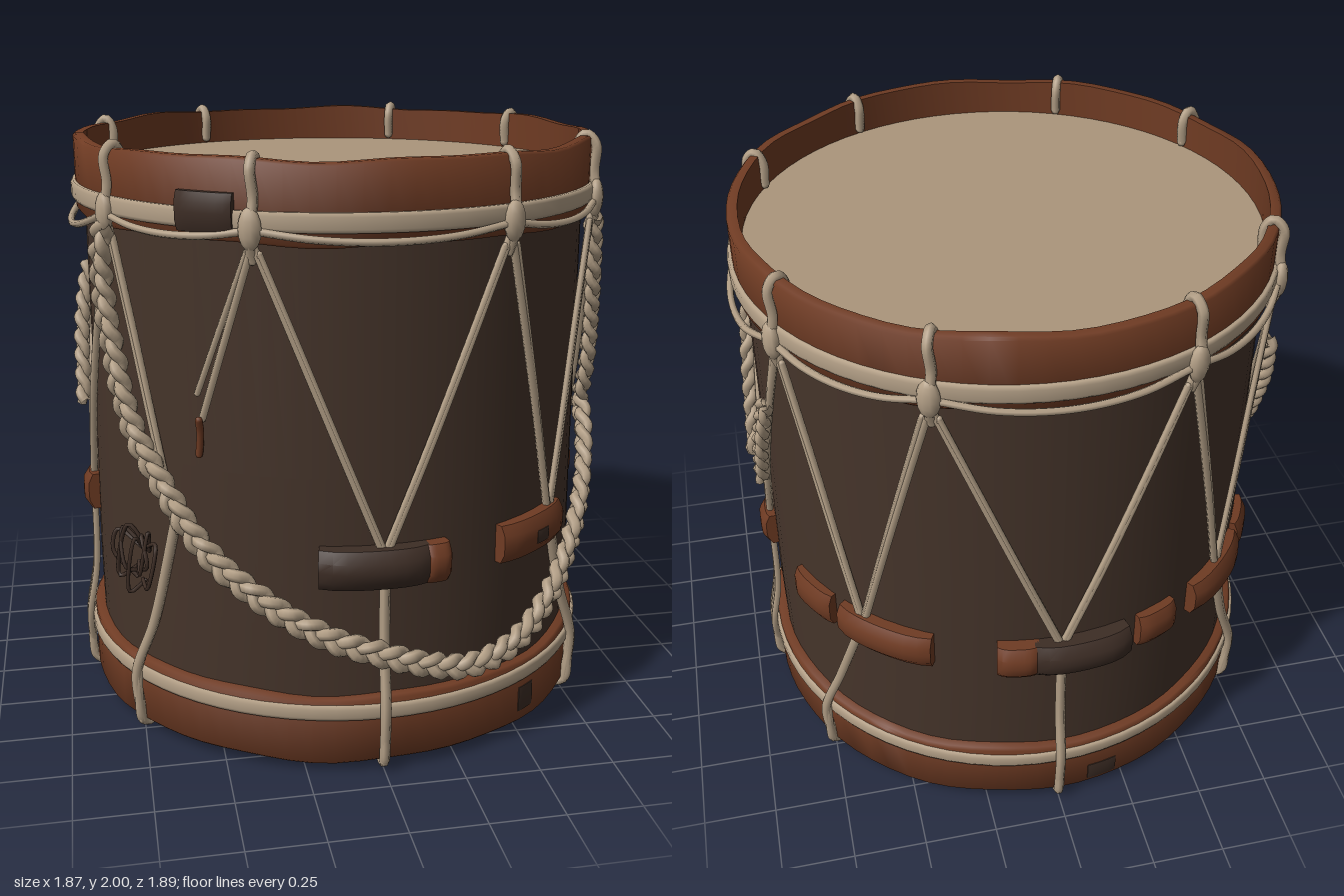
import * as THREE from 'three';
import { toCreasedNormals } from 'three/addons/utils/BufferGeometryUtils.js';

const mat = (name, color, side = THREE.FrontSide) => {
  const m = new THREE.MeshStandardMaterial({ color, side });
  m.name = name;
  return m;
};

// Point on the drum: angle in degrees from the front towards +x, height, radius
const at = (deg, y, r) => {
  const a = THREE.MathUtils.degToRad(deg);
  return new THREE.Vector3(r * Math.sin(a), y, r * Math.cos(a));
};

export function createModel() {
  const shellMat = mat('dark shell wood', 0x45342a);
  const hoopMat = mat('red brown wood', 0x6f3b23);
  const skinMat = mat('drum skin', 0xab967c);
  const ropeMat = mat('pale rope', 0xb5a188);
  const darkMat = mat('dark leather', 0x3d2d25);

  const drum = new THREE.Group();
  drum.name = 'drum';
  const add = (name, geometry, material, parent = drum) => {
    const mesh = new THREE.Mesh(geometry, material);
    mesh.name = name;
    parent.add(mesh);
    return mesh;
  };
  const group = (name) => {
    const g = new THREE.Group();
    g.name = name;
    drum.add(g);
    return g;
  };
  const lathe = (pts) => new THREE.LatheGeometry(pts.map((p) => new THREE.Vector2(...p)), 72);

  // Cord through [deg, y, r] points, straight or curved along the drum
  const path = (pts) => new THREE.CatmullRomCurve3(pts.map((p) => at(...p)), false, 'centripetal');
  const cord = (name, pts, radius, parent, material = ropeMat) => {
    const curve = path(pts);
    const g = new THREE.TubeGeometry(curve, 6 * pts.length, radius, 6);
    add(name, g, material, parent);
    for (const t of [0, 1]) {
      const cap = add(name + 'End', new THREE.SphereGeometry(radius, 6, 4), material, parent);
      cap.position.copy(curve.getPoint(t));
    }
  };
  const leg = (a0, y0, a1, y1, r = 0.878) =>
    [0, 0.33, 0.67, 1].map((t) => [a0 + (a1 - a0) * t, y0 + (y1 - y0) * t, r + 0.02 * (1 - t) ** 3]);

  // Box bent round the drum, with softly pinched ends
  const bent = (name, a0, a1, y0, y1, r0, r1, material, parent) => {
    const g = new THREE.BoxGeometry(1, 1, 1, 8, 4, 1);
    const p = g.attributes.position;
    for (let i = 0; i < p.count; i++) {
      const u = p.getX(i), v = p.getY(i), w = p.getZ(i);
      const pinch = (1 - 0.25 * Math.abs(2 * u) ** 4) * (1 - 0.35 * Math.abs(2 * v) ** 4);
      const r = w > 0 ? r0 + (r1 - r0) * pinch : r0;
      const q = at(a0 + (a1 - a0) * (u + 0.5), y0 + (y1 - y0) * (v + 0.5), r);
      p.setXYZ(i, q.x, q.y, q.z);
    }
    add(name, toCreasedNormals(g, 0.7), material, parent);
  };

  // Shell and the two recessed skins
  add('shell', lathe([[0.862, 0.14], [0.866, 0.5], [0.862, 1], [0.858, 1.86]]), shellMat);
  for (const [name, y, turn] of [['topSkin', 1.85, -1], ['bottomSkin', 0.16, 1]]) {
    const skin = add(name, new THREE.CircleGeometry(0.87, 64), skinMat);
    skin.rotation.x = turn * Math.PI / 2;
    skin.position.y = y;
  }

  // Slightly uneven wooden hoops with a pale band
  const hoop = (name, y0, y1, rOut) => {
    const rIn = 0.852, b = 0.008;
    const g = lathe([[rIn, y0], [rOut - b, y0], [rOut, y0 + b], [rOut, y1 - b],
      [rOut - b, y1], [rIn, y1], [rIn, y0]]);
    const p = g.attributes.position;
    for (let i = 0; i < p.count; i++) {
      const a = Math.atan2(p.getX(i), p.getZ(i));
      p.setY(i, p.getY(i) + 0.005 * Math.sin(7 * a) + 0.003 * Math.cos(13 * a));
    }
    add(name, toCreasedNormals(g, 0.9), hoopMat);
  };
  const band = (name, y0, y1, r) =>
    add(name, lathe([[0.87, y0], [r - 0.006, y0], [r, y0 + 0.012], [r, y1 - 0.012], [r - 0.006, y1], [0.87, y1]]), ropeMat);
  hoop('topHoop', 1.725, 1.972, 0.888);
  hoop('bottomHoop', 0.033, 0.262, 0.898);
  band('topBand', 1.765, 1.825, 0.903);
  band('bottomBand', 0.19, 0.242, 0.91);

  // Rope loops and knots over the top hoop
  const topAngles = [26, 62, 118, 154, 206, 242, 298, 334];
  const loops = group('topLoops');
  topAngles.forEach((a, i) => {
    cord('topLoop', [[a, 1.87, 0.845], [a, 1.95, 0.843], [a, 1.982, 0.868], [a, 1.95, 0.902],
      [a + 0.5, 1.86, 0.9], [a, 1.76, 0.915], [a, 1.68, 0.89]], 0.017, loops);
    const knot = add('knot', new THREE.SphereGeometry(1, 10, 8), ropeMat, loops);
    knot.scale.set(0.037, 0.065, 0.026);
    knot.position.copy(at(a, 1.775, 0.91));
    knot.rotation.y = THREE.MathUtils.degToRad(a);
    // Slack cord sagging to the next knot
    const b = i < 7 ? topAngles[i + 1] : 386;
    const sag = i === 1 || i === 5 ? 0.085 : 0.03;
    cord('slackCord', [0, 0.25, 0.5, 0.75, 1].map((t) =>
      [a + (b - a) * t, 1.77 - sag * 4 * t * (1 - t), 0.908]), 0.012, loops);
  });

  // Tension cords: pairs meet at each V point, then run to the bottom hoop
  const cords = group('tensionCords');
  const vees = [[0, -26, 26, 0], [45, 26, 62, 57], [90, 62, 118, 90], [135, 118, 154, 123],
    [180, 154, 206, 180], [225, 206, 242, 237], [270, 242, 298, 270], [315, 334, 298, 303]];
  for (const [v, a, b, foot] of vees) {
    for (const top of [a, b]) {
      const s = Math.sign(v - top);
      if (v === 315 && top === 334) {
        // Snapped cord with a worn end
        cord('snappedCord', leg(-26, 1.72, -38, 1.17), 0.013, cords);
        cord('snappedCord', leg(-26.6, 1.72, -39, 1.25), 0.011, cords);
        cord('wornEnd', leg(-38, 1.17, -39, 1.05), 0.012, cords, hoopMat);
        continue;
      }
      cord('cord', leg(top, 1.74, v - s * 0.8, 0.77), 0.013, cords);
      cord('cord', leg(top + s * 1.6, 1.7, v - s * 0.3, 0.77), 0.011, cords);
    }
    const y0 = v === 315 ? 0.78 : 0.68;
    const spread = v === 90 || v === 270 ? [-2.2, 0, 2.2] : [0];
    for (const o of spread) {
      const mid = v + (foot - v) * 0.65 + o;
      cord('lowerCord', [[v + o, y0 + 0.06, 0.88], [mid, 0.42, 0.888], [foot + o * 0.8, 0.22, 0.92],
        [foot, 0.09, 0.912], [foot, 0.035, 0.905]], spread.length > 1 ? 0.013 : 0.018, cords);
    }
    cord('bottomLoop', [[foot, 0.25, 0.914], [foot, 0.12, 0.916], [foot, 0.04, 0.908],
      [foot, 0.018, 0.875], [foot, 0.05, 0.845], [foot, 0.14, 0.845]], 0.017, cords);
  }

  // Leather sliders round the cords
  const tabs = group('sliders');
  const tab = (a0, a1, m, r = 0.925, y0 = 0.65, y1 = 0.78) => bent('slider', a0, a1, y0, y1, 0.855, r, m, tabs);
  tab(-13.5, 9, darkMat, 0.945);
  tab(8, 13.5, hoopMat, 0.935);
  tab(27, 49, hoopMat);
  tab(86, 94, hoopMat, 0.918);
  tab(113, 126, hoopMat, 0.91);
  tab(129, 152, hoopMat);
  tab(166, 175, hoopMat, 0.935);
  tab(174, 195, darkMat, 0.945);
  tab(198, 208, hoopMat, 0.915);
  tab(214, 236, hoopMat);
  tab(238, 249, hoopMat, 0.91);
  tab(266, 274, hoopMat, 0.918);
  bent('sliderMark', 36, 40, 0.69, 0.735, 0.921, 0.929, darkMat, tabs);

  // Dark patches on the hoops
  bent('hoopPatch', -41.5, -29.5, 1.755, 1.875, 0.885, 0.922, darkMat, drum);
  bent('hoopStain', 34, 39, 0.07, 0.16, 0.895, 0.903, darkMat, drum);
  bent('hoopStain', 187, 194, 0.05, 0.12, 0.895, 0.903, darkMat, drum);

  // Three-strand braid following a path
  const braid = (name, pts, size) => {
    const g = group(name);
    const curve = path(pts);
    const length = curve.getLength();
    const steps = Math.ceil(length / 0.016);
    for (let k = 0; k < 3; k++) {
      const line = [];
      for (let i = 0; i <= steps; i++) {
        const p = curve.getPointAt(i / steps);
        const tangent = curve.getTangentAt(i / steps);
        const out = new THREE.Vector3(p.x, 0, p.z).normalize();
        const across = new THREE.Vector3().crossVectors(tangent, out).normalize();
        const w = (i / steps) * length * 30 + k * 2 * Math.PI / 3;
        line.push(p.addScaledVector(across, size * Math.sin(w)).addScaledVector(out, size * 0.5 * Math.sin(2 * w)));
      }
      add('strand', new THREE.TubeGeometry(new THREE.CatmullRomCurve3(line), steps * 2, size * 0.78, 6), ropeMat, g);
    }
  };
  const drape = [[-62, 1.74], [-64, 1.6], [-60, 1.3], [-55, 1.1], [-45, 0.9], [-37, 0.75], [-26, 0.62],
    [-13, 0.5], [0, 0.42], [11, 0.36], [19, 0.335], [30, 0.36], [41, 0.45], [53, 0.6], [65, 0.76], [76, 0.91], [82, 0.98]];
  braid('carryingRope', drape.map(([a, y]) => [a, y, 0.915]), 0.026);
  braid('leftBraid', [[83, 0.95, 0.91], [77, 1.12, 0.915], [73, 1.32, 0.915], [68, 1.5, 0.912], [63, 1.72, 0.91]], 0.023);
  braid('backLeftBraid', [[110, 1.47, 0.9], [105, 1.28, 0.905], [98, 1.02, 0.9]], 0.02);
  braid('backRightBraid', [[-110, 1.47, 0.91], [-105, 1.28, 0.918], [-97, 1, 0.905]], 0.024);

  // Frayed dark tassel
  const tassel = group('tassel');
  for (let i = 0; i < 7; i++) {
    const a = -63 + i * 2.2;
    cord('fringe', [[-57 + (i % 3), 0.66, 0.87], [a, 0.71 + 0.02 * (i % 3), 0.91],
      [a + 3 * Math.sin(i * 2), 0.64 - 0.04 * (i % 4), 0.93], [-58 + i % 4, 0.56 + 0.03 * (i % 3), 0.89]], 0.007, tassel, darkMat);
  }
  return drum;
}
